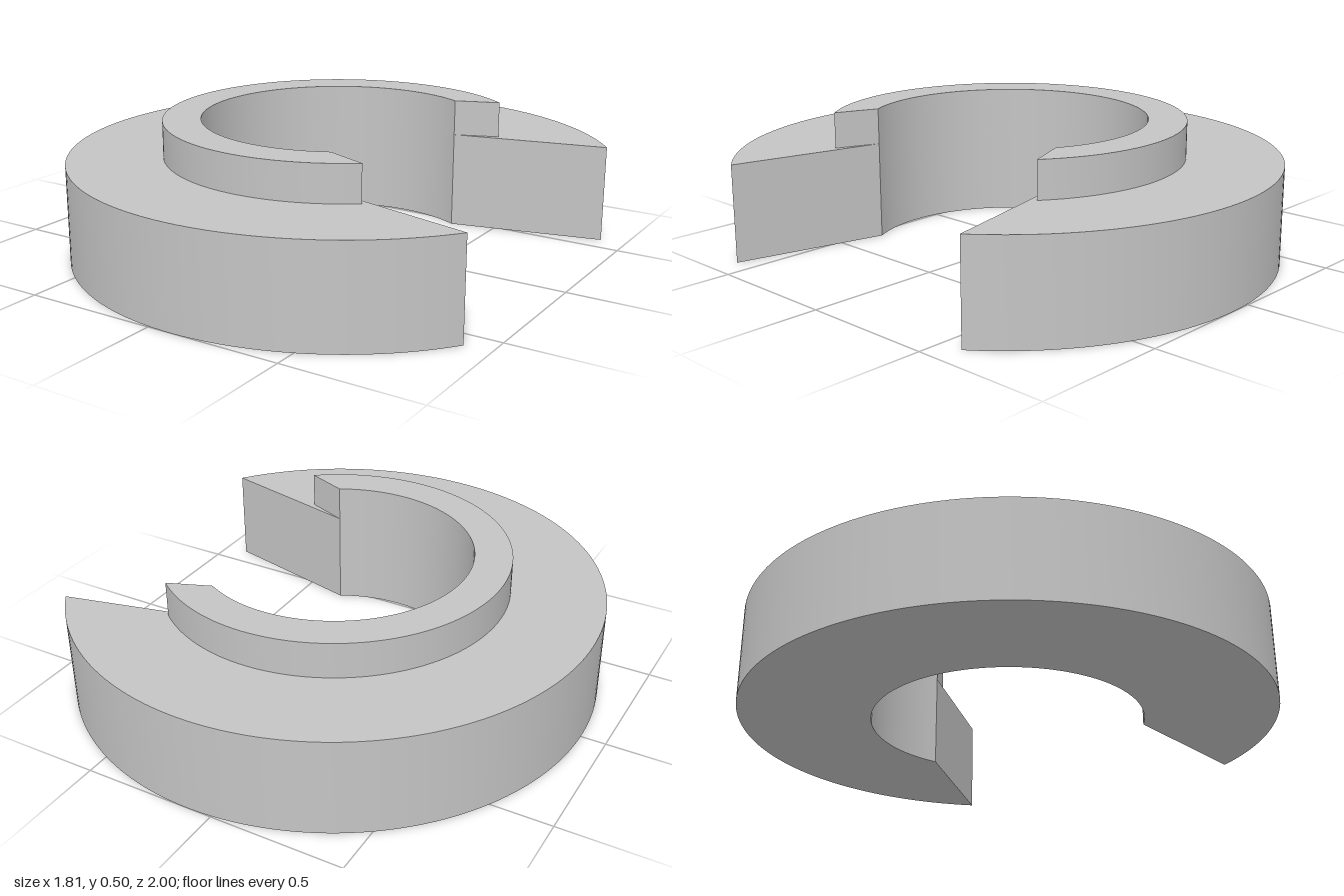
import * as THREE from 'three';
import { toCreasedNormals } from 'three/addons/utils/BufferGeometryUtils.js';

const CENTRE_X = 0.093;
const BORE = 0.51;
const BORE_ANGLE = Math.atan2(0.447, 0.242); // where the opening meets the bore

// Open ring: outer arc, then back along the bore; the opening faces +x
function openRing(name, radius, endAngle, bottom, top, material) {
  const full = Math.PI * 2;
  const shape = new THREE.Shape();
  shape.absarc(0, 0, radius, endAngle, full - endAngle, false);
  shape.absarc(0, 0, BORE, full - BORE_ANGLE, BORE_ANGLE, true);
  shape.closePath();
  const extruded = new THREE.ExtrudeGeometry(shape, {
    depth: top - bottom, bevelEnabled: false, curveSegments: 72,
  });
  extruded.rotateX(-Math.PI / 2);
  const mesh = new THREE.Mesh(toCreasedNormals(extruded, Math.PI / 7), material);
  mesh.name = name;
  mesh.position.set(CENTRE_X, bottom, 0);
  return mesh;
}

export function createModel() {
  const group = new THREE.Group();
  group.name = 'openCollar';
  const grey = new THREE.MeshStandardMaterial({ color: 0xc4c4c4 });
  grey.name = 'light grey';

  // Wide base ring with a slanted opening
  group.add(openRing('baseRing', 1.0, Math.atan2(0.584, 0.812), 0, 0.365, grey));
  // Narrow raised lip around the bore
  group.add(openRing('raisedLip', 0.65, Math.atan2(0.51, 0.4), 0.365, 0.5, grey));
  return group;
}
